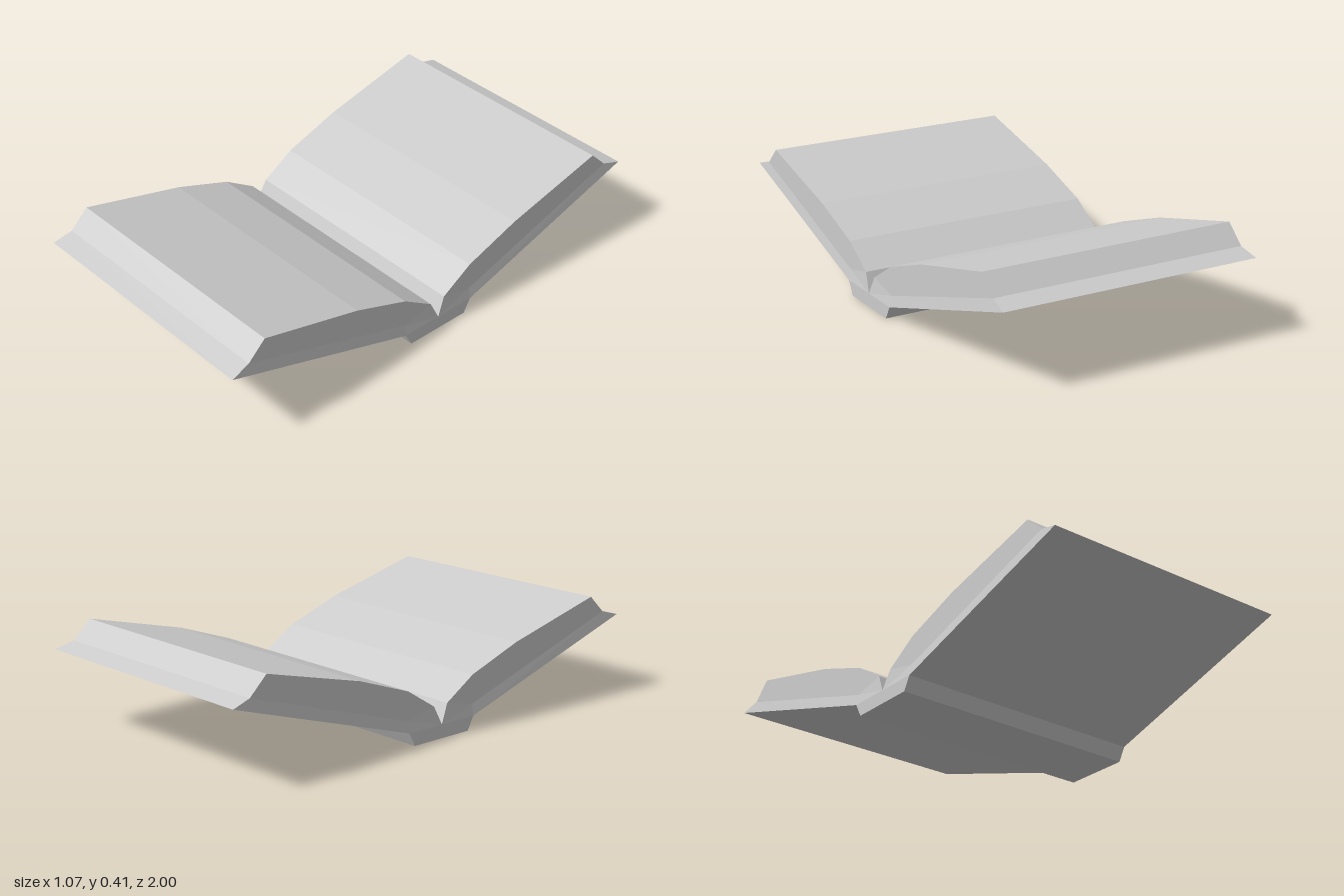
import * as THREE from 'three';

const OUT = 0.533, IN = 0.525; // half widths of the cover and of the page block

// cross-section corners of one half: [half width, y, z]
const valley = [OUT, 0.055, 0], gutter = [IN, 0.13, 0.035], root = [IN, 0.1, 0.17];
const curl = [IN, 0.215, 0.17], bend = [IN, 0.3, 0.41], crest = [IN, 0.41, 0.845];
const foot = [IN, 0.338, 0.92], edge = [OUT, 0.315, 1];
const hinge = [OUT, 0.055, 0.17], heel = [OUT, 0, 0.14], base = [OUT, 0, 0];

// strips across the width along an outline, plus side polygons on both ends
function buildPart(name, outline, sides, half, material) {
  const pos = [];
  const tri = (a, b, c, flip) => pos.push(...a, ...(flip ? c : b), ...(flip ? b : c));
  const at = (p, side) => [side * p[0], p[1], half * p[2]];
  for (let i = 0; i + 1 < outline.length; i++) {
    const [a, b] = [outline[i], outline[i + 1]];
    tri(at(a, -1), at(b, -1), at(b, 1), half < 0);
    tri(at(a, -1), at(b, 1), at(a, 1), half < 0);
  }
  for (const side of [1, -1])
    for (const poly of sides)
      for (let i = 1; i + 1 < poly.length; i++)
        tri(at(poly[0], side), at(poly[i], side), at(poly[i + 1], side), half * side < 0);
  const geometry = new THREE.BufferGeometry();
  geometry.setAttribute('position', new THREE.Float32BufferAttribute(pos, 3));
  geometry.computeVertexNormals();
  const mesh = new THREE.Mesh(geometry, material);
  mesh.name = name;
  return mesh;
}

export function createModel() {
  const model = new THREE.Group();
  model.name = 'openBook';
  const paper = new THREE.MeshStandardMaterial({ color: 0xcccccc, flatShading: true });
  paper.name = 'light grey';

  for (const half of [1, -1]) {
    const label = half > 0 ? 'front' : 'back';
    // curved page block with its fore edge
    model.add(buildPart(label + 'Pages', [valley, gutter, curl, bend, crest, foot, edge],
      [[root, gutter, curl, bend, crest, foot]], half, paper));
    // sloping cover with flared ends
    model.add(buildPart(label + 'Cover', [edge, hinge],
      [[foot, edge, hinge, root], [root, hinge, valley, gutter]], half, paper));
    // half of the flat spine
    model.add(buildPart(label + 'Spine', [hinge, heel, base],
      [[valley, hinge, heel, base]], half, paper));
  }
  return model;
}
